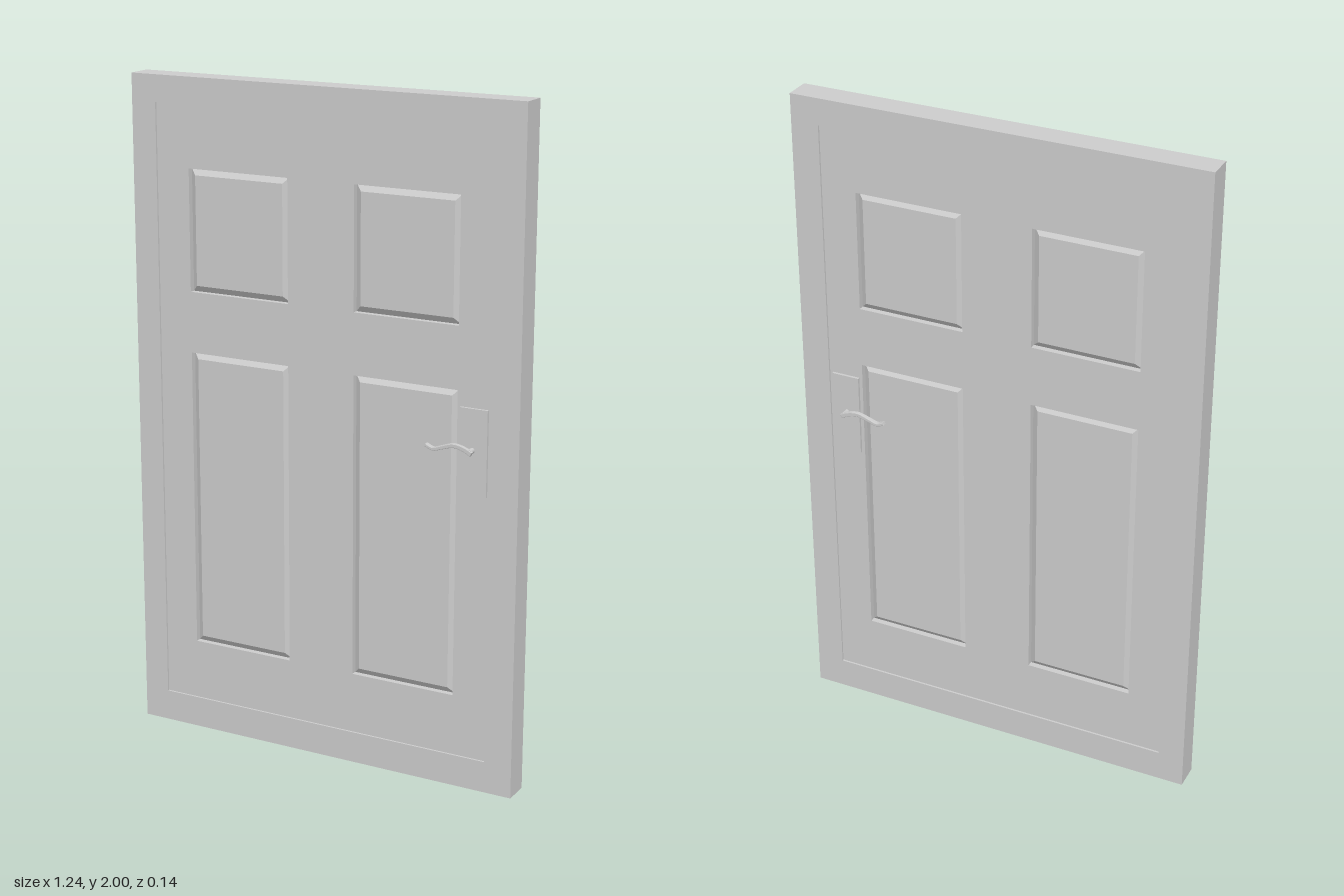
import * as THREE from 'three';

const material = new THREE.MeshStandardMaterial({ color: 0xcccccc });

const outline = (x0, x1, y0, y1, Type = THREE.Shape) => new Type([
  new THREE.Vector2(x0, y0), new THREE.Vector2(x1, y0),
  new THREE.Vector2(x1, y1), new THREE.Vector2(x0, y1),
]);

// Slab centred on z = 0 with rectangular cut-outs
function slab(rect, holes, halfDepth) {
  const shape = outline(...rect);
  shape.holes = holes.map((h) => outline(...h, THREE.Path));
  const g = new THREE.ExtrudeGeometry(shape, { depth: halfDepth * 2, bevelEnabled: false });
  return g.translate(0, 0, -halfDepth);
}

// Panel with a sloped border and a flat field on both faces
function raisedPanel(rect, edge, slope, inset) {
  const g = new THREE.ExtrudeGeometry(outline(...rect), {
    depth: edge * 2, bevelEnabled: true, bevelSegments: 1,
    bevelThickness: slope, bevelSize: inset, bevelOffset: -inset,
  });
  return g.translate(0, 0, -edge);
}

// Wavy lever: a ribbon around a curve, deepening towards the free tip
function leverGeometry(side) {
  const curve = new THREE.CatmullRomCurve3([
    [0.347, 1.029], [0.37, 1.02], [0.398, 1.028],
    [0.434, 1.038], [0.468, 1.031], [0.489, 1.02],
  ].map(([x, y]) => new THREE.Vector3(x, y, 0)));
  const upper = [], lower = [], n = 24;
  for (let i = 0; i <= n; i++) {
    const p = curve.getPointAt(i / n), t = curve.getTangentAt(i / n);
    const half = 0.0045 + 0.0025 * (i / n);
    upper.push(new THREE.Vector2(p.x - t.y * half, p.y + t.x * half));
    lower.push(new THREE.Vector2(p.x + t.y * half, p.y - t.x * half));
  }
  const g = new THREE.ExtrudeGeometry(new THREE.Shape([...lower, ...upper.reverse()]), {
    depth: 0.007, bevelEnabled: true, bevelSegments: 2,
    bevelThickness: 0.002, bevelSize: 0.002, bevelOffset: -0.002,
  });
  g.translate(0, 0, -0.0035);
  const pos = g.attributes.position;
  for (let i = 0; i < pos.count; i++) {
    const z = pos.getZ(i);
    const grow = z * side < 0 ? 0.005 * THREE.MathUtils.clamp((0.47 - pos.getX(i)) / 0.12, 0, 1) : 0;
    pos.setZ(i, z - side * grow + side * 0.0625);
  }
  g.computeVertexNormals();
  return g;
}

export function createModel() {
  const model = new THREE.Group();
  model.name = 'door';
  const add = (name, geometry, parent = model) => {
    const mesh = new THREE.Mesh(geometry, material);
    mesh.name = name;
    parent.add(mesh);
    return mesh;
  };

  // Surround and slightly recessed leaf
  const opening = [-0.543, 0.537, 0.095, 1.92];
  add('frame', slab([-0.622, 0.622, 0, 2], [opening], 0.04));

  const panels = [];
  for (const [x0, x1] of [[-0.437, -0.11], [0.103, 0.43]]) {
    for (const [y0, y1] of [[0.279, 1.19], [1.373, 1.736]]) panels.push([x0, x1, y0, y1]);
  }
  add('leaf', slab(opening, panels, 0.034));

  // Four panels filling the leaf's cut-outs
  panels.forEach((rect, i) => add(`panel${i + 1}`, raisedPanel(rect, 0.016, 0.014, 0.019)));

  // Handle set on each face
  for (const side of [1, -1]) {
    const handle = new THREE.Group();
    handle.name = side > 0 ? 'frontHandle' : 'backHandle';
    model.add(handle);

    const plate = add('backPlate', new THREE.BoxGeometry(0.086, 0.252, 0.01), handle);
    plate.position.set(0.483, 1.019, side * 0.037);

    const stem = add('stem', new THREE.CylinderGeometry(0.008, 0.008, 0.025, 16), handle);
    stem.rotation.x = Math.PI / 2;
    stem.position.set(0.481, 1.025, side * 0.0525);

    add('lever', leverGeometry(side), handle);
  }
  return model;
}
